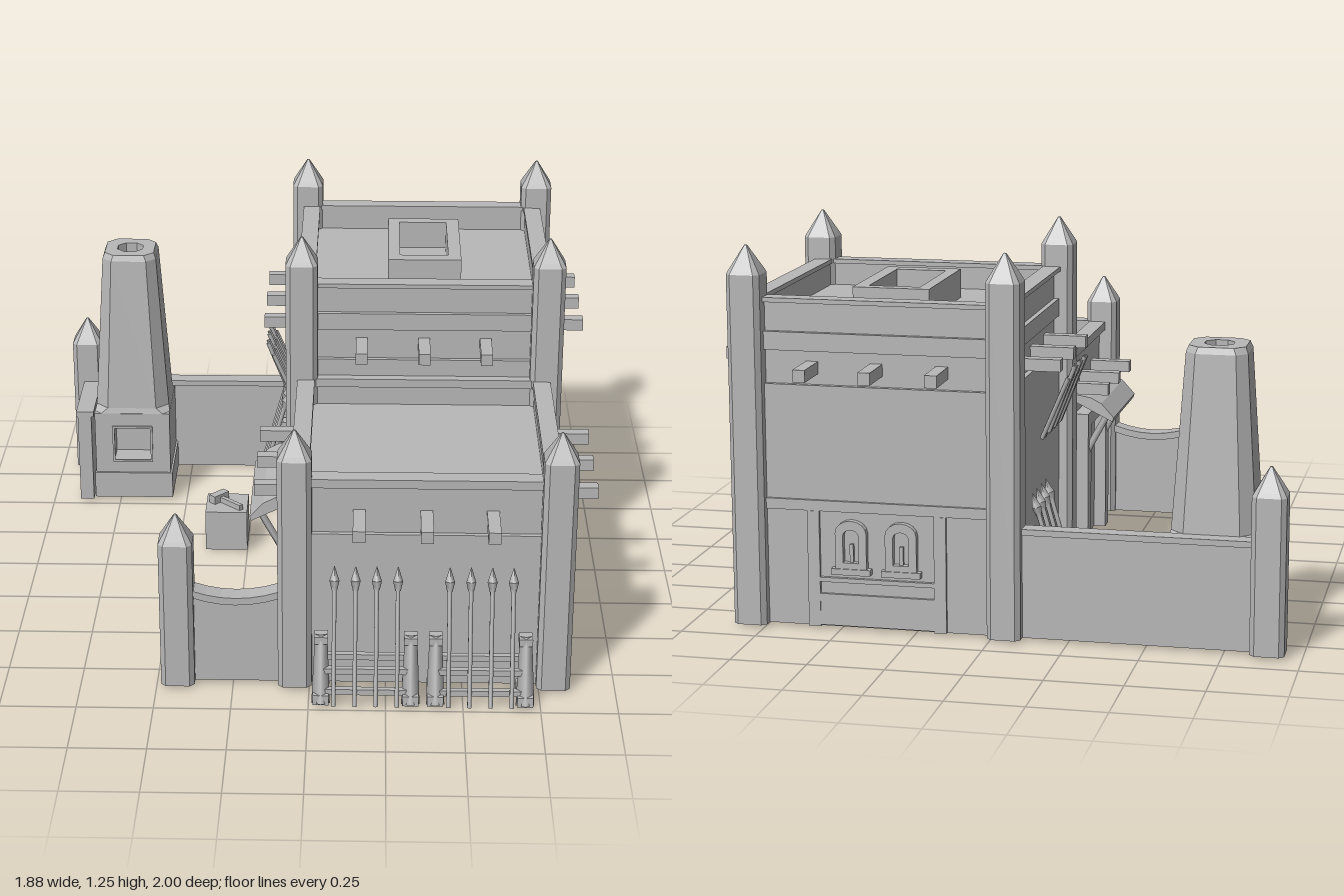
import * as THREE from 'three';

const stone = new THREE.MeshStandardMaterial({ color: 0xb8b8b8 });
stone.name = 'stone grey';

export function createModel() {
  const root = new THREE.Group();

  const add = (name, geo, parent = root) => {
    const m = new THREE.Mesh(geo, stone);
    m.name = name;
    parent.add(m);
    return m;
  };
  const group = (name, x = 0, y = 0, z = 0, ry = 0) => {
    const g = new THREE.Group();
    g.name = name;
    g.position.set(x, y, z);
    g.rotation.y = ry;
    root.add(g);
    return g;
  };
  // box given by its limits
  const box = (name, x0, x1, y0, y1, z0, z1, parent = root) => {
    const m = add(name, new THREE.BoxGeometry(x1 - x0, y1 - y0, z1 - z0), parent);
    m.position.set((x0 + x1) / 2, (y0 + y1) / 2, (z0 + z1) / 2);
    return m;
  };
  // stick between two points
  const rod = (name, a, b, r0, r1, parent, sides = 6) => {
    const A = new THREE.Vector3(...a), B = new THREE.Vector3(...b), d = B.clone().sub(A);
    const m = add(name, new THREE.CylinderGeometry(r1, r0, d.length(), sides), parent);
    m.position.copy(A).addScaledVector(d, 0.5);
    m.quaternion.setFromUnitVectors(new THREE.Vector3(0, 1, 0), d.normalize());
    return m;
  };
  const outline = (Kind, pts) => new Kind(pts.map((p) => new THREE.Vector2(...p)));
  const rect = (x0, x1, y0, y1) => [[x0, y0], [x1, y0], [x1, y1], [x0, y1]];
  const plate = (pts, holes, depth) => {
    const s = outline(THREE.Shape, pts);
    holes.forEach((h) => s.holes.push(outline(THREE.Path, h)));
    return new THREE.ExtrudeGeometry(s, { depth, bevelEnabled: false });
  };
  // open rectangular ring lying flat
  const ring = (name, [x0, x1, z0, z1], [a0, a1, b0, b1], y0, y1) => {
    const geo = plate(rect(x0, x1, -z1, -z0), [rect(a0, a1, -b1, -b0)], y1 - y0);
    add(name, geo.rotateX(-Math.PI / 2)).position.y = y0;
  };
  // chamfered square column from [y, half width, chamfer] levels
  const column = (levels, capTop = true) => {
    const pos = [];
    const loop = ([y, h, c]) => [[h, h - c], [h - c, h], [c - h, h], [-h, h - c],
      [-h, c - h], [c - h, -h], [h - c, -h], [h, c - h]].map(([x, z]) => [x, y, z]);
    const loops = levels.map(loop);
    for (let i = 0; i + 1 < loops.length; i++) {
      for (let j = 0; j < 8; j++) {
        const k = (j + 1) % 8, a = loops[i], b = loops[i + 1];
        pos.push(...a[j], ...b[j], ...b[k], ...a[j], ...b[k], ...a[k]);
      }
    }
    for (let j = 1; j < 7; j++) {
      const a = loops[0], b = loops[loops.length - 1];
      pos.push(...a[0], ...a[j], ...a[j + 1]);
      if (capTop) pos.push(...b[0], ...b[j + 1], ...b[j]);
    }
    const g = new THREE.BufferGeometry();
    g.setAttribute('position', new THREE.Float32BufferAttribute(pos, 3));
    g.computeVertexNormals();
    return g;
  };

  const L = -0.047, R = 0.797, BACK = -0.86, MID = -0.02, FRONT = 0.82;

  // corner posts with pointed caps
  [[L, BACK, 1.24], [R, BACK, 1.24], [L, MID, 1.24], [R, MID, 1.24], [L, FRONT, 0.9],
    [R, FRONT, 0.9], [-0.89, BACK, 0.6], [-0.43, FRONT, 0.6]].forEach(([x, z, h]) => {
    const geo = column([[0, 0.055, 0.016], [h - 0.09, 0.055, 0.016], [h - 0.075, 0.047, 0.014], [h, 0.004, 0.001]]);
    add('cornerPost', geo).position.set(x, 0, z);
  });

  // two storeyed blocks: walls, recess, parapet, rim
  const block = (z0, z1, [wall, recess, band, rim, top], roof) => {
    const lim = (o) => [L - o, R + o, z0 - o, z1 + o];
    const solid = (name, o, y0, y1) => {
      const l = lim(o);
      box(name, l[0], l[1], y0, y1, l[2], l[3]);
    };
    solid('walls', 0.01, 0, wall);
    solid('roof', -0.01, wall, roof);
    ring('parapet', lim(-0.007), lim(-0.04), wall, rim);
    if (band > recess) ring('band', lim(0.01), lim(-0.03), recess, band);
    ring('parapetRim', lim(0.015), lim(-0.045), rim, top);
  };
  block(BACK, MID, [0.795, 0.905, 0.965, 1.06, 1.075], 0.985);
  block(MID, FRONT, [0.54, 0.6, 0.6, 0.705, 0.735], 0.64);
  ring('roofHatch', [0.25, 0.505, -0.66, -0.23], [0.29, 0.46, -0.62, -0.28], 0.98, 1.082);

  // roof beams poking through the walls
  for (const x of [0.16, 0.375, 0.587]) {
    box('longBeam', x - 0.02, x + 0.02, 0.83, 0.87, -1, 0.12);
    box('frontBeam', x - 0.02, x + 0.02, 0.58, 0.62, 0.7, 0.97);
  }
  for (const z of [-0.65, -0.44, -0.23]) box('crossBeam', -0.185, 0.937, 0.83, 0.87, z - 0.02, z + 0.02);
  for (const z of [0.19, 0.4, 0.615]) box('crossBeam', -0.185, 0.937, 0.58, 0.62, z - 0.02, z + 0.02);

  // belt course
  box('beltCourse', 0.79, 0.817, 0.385, 0.42, BACK, FRONT);
  box('beltCourse', L, R, 0.385, 0.42, -0.88, -0.85);

  // arched outline, width 2w, from y0 to y1
  const arch = (cx, w, y0, y1) => {
    const pts = [[cx - w, y0], [cx + w, y0]];
    for (let i = 0; i <= 8; i++) {
      const a = (i * Math.PI) / 8;
      pts.push([cx + w * Math.cos(a), y1 - w * 0.8 + w * 0.8 * Math.sin(a)]);
    }
    return pts;
  };
  // paired windows with surround
  const windows = (x, z, ry) => {
    const g = group('windowBay', x, 0, z, ry);
    for (const s of [-1, 1]) {
      box('pilaster', s * 0.21 - 0.02, s * 0.21 + 0.02, 0, 0.385, 0, 0.012, g);
      add('windowFrame', plate(arch(s * 0.083, 0.052, 0.2, 0.36), [arch(s * 0.083, 0.026, 0.22, 0.33)], 0.022), g);
      box('windowSill', s * 0.083 - 0.065, s * 0.083 + 0.065, 0.18, 0.2, 0, 0.026, g);
      box('mullion', s * 0.083 - 0.006, s * 0.083 + 0.006, 0.22, 0.28, 0, 0.012, g);
    }
    box('lowerPanel', -0.19, 0.19, 0.005, 0.11, 0, 0.01, g);
    box('windowLedge', -0.19, 0.19, 0.15, 0.165, 0, 0.012, g);
  };
  windows(0.807, 0.405, Math.PI / 2);
  windows(0.375, -0.87, Math.PI);

  // arched side door
  const door = group('archedDoor', 0.807, 0, -0.435, Math.PI / 2);
  add('doorFrame', plate(arch(0, 0.075, 0, 0.295), [arch(0, 0.055, 0.02, 0.265)], 0.025), door);
  box('doorStep', -0.095, 0.095, 0, 0.025, 0, 0.03, door);

  // porch on the left side
  const porch = group('porch', -0.057, 0, 0.405, -Math.PI / 2);
  const awning = plate([[0, 0.55], [0.14, 0.48], [0.145, 0.495], [0.1, 0.545], [0.06, 0.565], [0, 0.575]], [], 0.43);
  const roof = add('awning', awning, porch);
  roof.rotation.y = -Math.PI / 2;
  roof.position.x = 0.215;
  for (const s of [-1, 1]) {
    box('porchPost', s * 0.17 - 0.03, s * 0.17 + 0.03, 0, 0.5, 0, 0.05, porch);
    rod('bracket', [s * 0.17, 0.36, 0.04], [s * 0.17, 0.49, 0.11], 0.012, 0.012, porch, 4);
  }
  box('lintel', -0.2, 0.2, 0.45, 0.5, 0, 0.05, porch);
  box('doorPanel', -0.14, 0.14, 0, 0.45, 0, 0.008, porch);

  // yard walls
  box('yardBackWall', -0.89, L, 0, 0.34, -0.87, -0.83);
  box('yardBackCoping', -0.89, L, 0.34, 0.36, -0.878, -0.82);
  box('yardSideWall', -0.9, -0.85, 0, 0.34, BACK, -0.52);
  box('yardSideCoping', -0.905, -0.84, 0.34, 0.36, BACK, -0.515);
  const dip = (y) => Array.from({ length: 9 }, (_, i) => [-0.43 + i * 0.0475, y + 0.045 * ((i - 4) / 4) ** 2]);
  const coping = dip(0.31);
  add('yardFrontWall', plate([[-0.43, 0], [-0.05, 0], ...dip(0.29).reverse()], [], 0.04)).position.z = 0.79;
  add('yardFrontCoping', plate([...dip(0.285), ...coping.reverse()], [], 0.066)).position.z = 0.777;

  // kiln with fire opening and tapered chimney
  const kiln = group('kiln', -0.7, 0, -0.69);
  box('kilnBase', -0.145, 0.147, 0, 0.1, -0.145, 0.15, kiln);
  box('kilnBody', -0.14, 0.14, 0.1, 0.34, -0.14, 0.05, kiln);
  add('kilnFront', plate(rect(-0.14, 0.14, 0.1, 0.34), [rect(-0.07, 0.07, 0.15, 0.285)], 0.092), kiln).position.z = 0.05;
  add('fireFrame', plate(rect(-0.075, 0.075, 0.145, 0.29), [rect(-0.067, 0.067, 0.153, 0.282)], 0.008), kiln).position.z = 0.14;
  add('chimney', column([[0.34, 0.14, 0.025], [0.36, 0.135, 0.045], [0.93, 0.098, 0.034], [0.95, 0.09, 0.034]], false), kiln);
  const h = 0.09, c = 0.034;
  const octagon = [[h, c - h], [h, h - c], [h - c, h], [c - h, h], [-h, h - c], [-h, c - h], [c - h, -h], [h - c, -h]];
  const flue = octagon.map((_, i) => [0.05 * Math.cos((i + 0.5) * Math.PI / 4), 0.05 * Math.sin((i + 0.5) * Math.PI / 4)]);
  const lid = add('chimneyTop', plate(octagon, [flue], 0.06), kiln);
  lid.rotation.x = -Math.PI / 2;
  lid.position.y = 0.891;
  box('flueFloor', -0.06, 0.06, 0.88, 0.895, -0.06, 0.06, kiln);

  // spear racks, leaning towards the wall behind them
  const rack = (x, z, ry) => {
    const g = group('spearRack', x, 0, z, ry);
    for (const s of [-1, 1]) {
      const cx = s * 0.145;
      rod('rackLeg', [cx, 0, 0.14], [cx, 0.215, 0.07], 0.03, 0.02, g, 4);
      rod('rackLeg', [cx, 0, 0.04], [cx, 0.2, 0.075], 0.022, 0.018, g, 4);
      box('rackFoot', cx - 0.026, cx + 0.026, 0, 0.035, 0.03, 0.155, g);
      box('rackCap', cx - 0.022, cx + 0.022, 0.19, 0.215, 0.045, 0.095, g);
    }
    for (const [y, d] of [[0.04, 0.13], [0.105, 0.11], [0.13, 0.06]]) {
      box('rackRail', -0.15, 0.15, y - 0.01, y + 0.01, d - 0.01, d + 0.01, g);
    }
    for (let i = 0; i < 4; i++) {
      const sx = -0.103 + i * 0.068;
      rod('spearShaft', [sx, 0.003, 0.165], [sx, 0.39, 0.055], 0.008, 0.008, g);
      rod('spearHead', [sx, 0.37, 0.06], [sx, 0.4, 0.052], 0.009, 0.016, g, 4);
      rod('spearPoint', [sx, 0.4, 0.052], [sx, 0.445, 0.038], 0.016, 0.001, g, 4);
    }
  };
  rack(0.185, 0.83, 0);
  rack(0.555, 0.83, 0);
  rack(-0.07, -0.64, -Math.PI / 2);

  // bundles of sticks on the left wall
  for (const z of [-0.35, -0.265, -0.18]) {
    const g = group('stickBundle', 0, 0, z);
    for (let i = 0; i < 5; i++) {
      const o = (i - 2) * 0.011, k = (i % 2) * 0.02;
      rod('stick', [-0.06 - k, 0.54 + k, o], [-0.15 - k, 0.75 + k * 2, o * 1.2], 0.008, 0.008, g, 5);
    }
  }

  // chopping block with a hammer
  box('block', -0.4, -0.25, 0, 0.15, -0.265, -0.11);
  const hammer = group('hammer', -0.33, 0.16, -0.185, -0.75);
  box('hammerHandle', -0.03, 0.08, -0.01, 0.01, -0.008, 0.008, hammer);
  box('hammerHead', -0.05, -0.02, -0.012, 0.02, -0.035, 0.035, hammer);

  return root;
}
